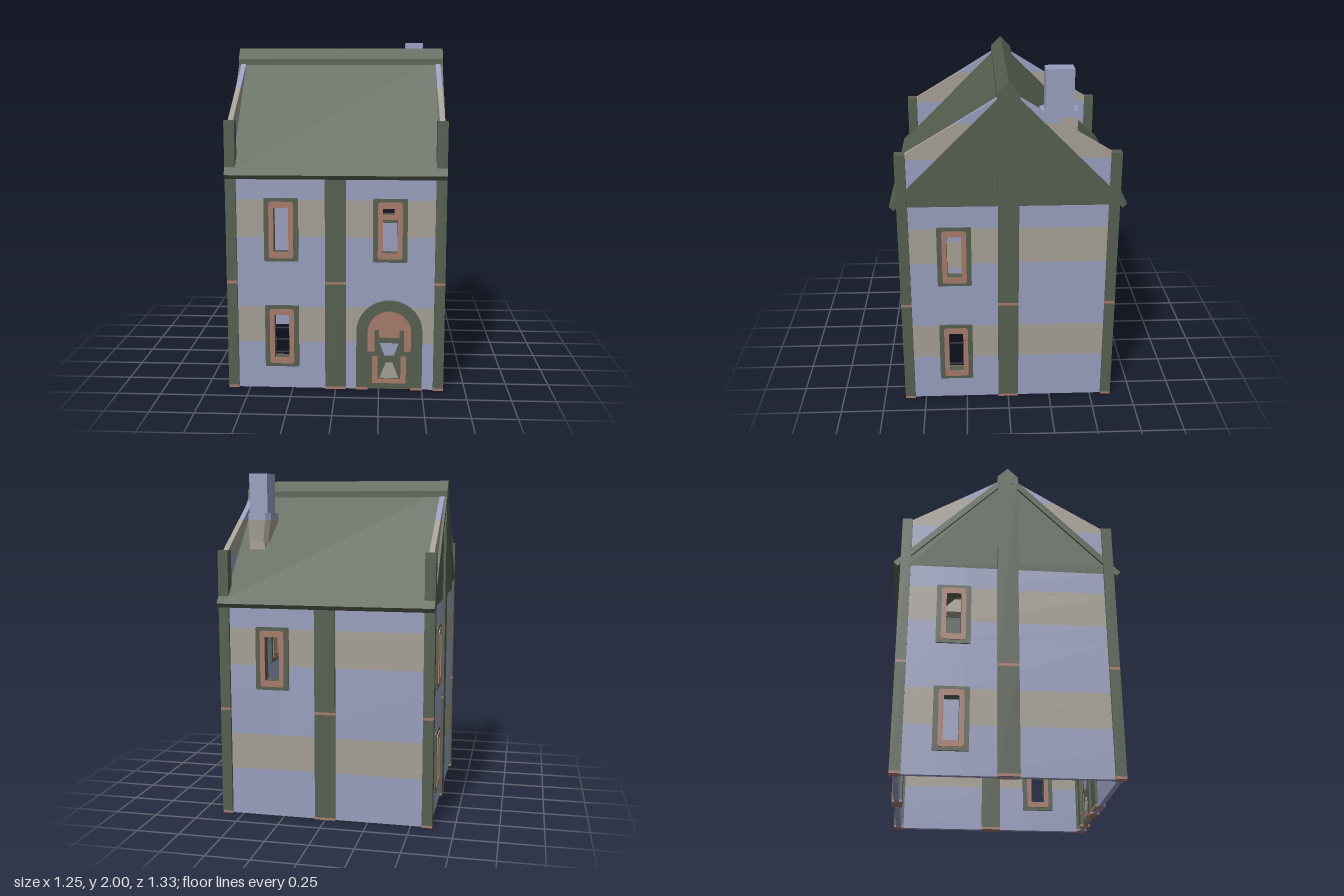
import * as THREE from 'three';
import { mergeGeometries } from 'three/addons/utils/BufferGeometryUtils.js';

const paint = (name, color) => Object.assign(new THREE.MeshStandardMaterial({ color }), { name });
const blue = paint('blue brick', 0x989ebe);
const tan = paint('tan brick', 0xa49f94);
const green = paint('dark green', 0x555f4f);
const brown = paint('clay brown', 0xa67a6a);

function add(parent, name, geometry, material) {
  const m = new THREE.Mesh(geometry, material);
  m.name = name;
  parent.add(m);
  return m;
}

// Box given by its two corners
function slab(x0, x1, y0, y1, z0, z1) {
  return new THREE.BoxGeometry(x1 - x0, y1 - y0, z1 - z0)
    .translate((x0 + x1) / 2, (y0 + y1) / 2, (z0 + z1) / 2);
}

const poly = pts => new THREE.Shape(pts.map(p => new THREE.Vector2(p[0], p[1])));

// Shape in x/y pushed out from z0 to z1
function plate(shape, z0, z1) {
  return new THREE.ExtrudeGeometry(shape, { depth: z1 - z0, bevelEnabled: false, curveSegments: 12 })
    .translate(0, 0, z0);
}

function roundRect(w, h, r, target = new THREE.Shape()) {
  target.moveTo(-w + r, -h);
  target.lineTo(w - r, -h); target.quadraticCurveTo(w, -h, w, -h + r);
  target.lineTo(w, h - r); target.quadraticCurveTo(w, h, w - r, h);
  target.lineTo(-w + r, h); target.quadraticCurveTo(-w, h, -w, h - r);
  target.lineTo(-w, -h + r); target.quadraticCurveTo(-w, -h, -w + r, -h);
  return target;
}

function ring(w, h, r) {
  const s = roundRect(w, h, r);
  s.holes.push(roundRect(0.042, 0.128, 0.004, new THREE.Path()));
  return s;
}

// Window frame with a raised clay rim on both sides
function addWindow(parent, x, y) {
  const g = new THREE.Group();
  g.name = 'window';
  g.position.set(x, y, 0);
  add(g, 'windowFrame', plate(ring(0.098, 0.183, 0.01), 0.568, 0.62), green);
  add(g, 'windowRimOuter', plate(ring(0.07, 0.163, 0.018), 0.62, 0.626), brown);
  add(g, 'windowRimInner', plate(ring(0.07, 0.163, 0.018), 0.562, 0.568), brown);
  parent.add(g);
}

function arch(r, y0, spring, target = new THREE.Shape()) {
  target.moveTo(-r, y0);
  target.lineTo(r, y0);
  target.lineTo(r, spring);
  target.absarc(0, spring, r, 0, Math.PI, false);
  target.lineTo(-r, y0);
  return target;
}

// Arched door with a raised surround and inlaid panels
function addDoor(parent, x) {
  const g = new THREE.Group();
  g.name = 'door';
  g.position.x = x;
  const s = new THREE.Shape();
  s.moveTo(0.19, 0.015);
  s.lineTo(0.19, 0.345);
  s.absarc(0, 0.345, 0.19, 0, Math.PI, false);
  s.lineTo(-0.19, 0.015);
  s.lineTo(-0.125, 0.015);
  s.lineTo(-0.125, 0.348);
  s.absarc(0, 0.348, 0.125, Math.PI, 0, true);
  s.lineTo(0.125, 0.015);
  add(g, 'doorSurround', plate(s, 0.565, 0.625), green);
  for (const k of [-1, 1])
    add(g, 'doorSurroundFoot', slab(k * 0.1575 - 0.0325, k * 0.1575 + 0.0325, 0, 0.015, 0.565, 0.625), brown);
  add(g, 'doorLeaf', plate(arch(0.127, 0, 0.348), 0.585, 0.605), brown);
  for (const face of [-1, 1]) {
    // Layered thin inlays, repeated on the inner side
    const inlay = (name, pts, layer, mat) => {
      const d = 0.01 + layer * 0.002;
      const z = [0.595 + face * d, 0.595 + face * (d + 0.002)].sort();
      add(g, name, plate(poly(pts), z[0], z[1]), mat);
    };
    const rect = (x0, x1, y0, y1) => [[x0, y0], [x1, y0], [x1, y1], [x0, y1]];
    inlay('doorLowerPanel', rect(-0.125, 0.125, 0, 0.225), 0, green);
    inlay('doorMiddlePanel', rect(-0.085, 0.085, 0.225, 0.31), 0, green);
    for (const k of [-1, 1]) {
      inlay('doorStile', rect(k * 0.072 - 0.013, k * 0.072 + 0.013, 0.31, 0.355), 0, green);
      inlay('doorPanelLine', rect(k * 0.082 - 0.016, k * 0.082 + 0.016, 0.035, 0.2), 1, brown);
    }
    inlay('doorPanelBase', rect(-0.066, 0.066, 0.035, 0.062), 1, brown);
    inlay('doorUpperPane', [[-0.028, 0.205], [0.028, 0.205], [0.055, 0.278], [-0.055, 0.278]], 1, blue);
    inlay('doorLowerPane', [[-0.055, 0.068], [0.055, 0.068], [0.02, 0.16], [-0.02, 0.16]], 1, tan);
  }
  parent.add(g);
}

// Striped wall cut into cells around its openings [x0, x1, y0, y1]
const stripes = [0, 0.28, 0.49, 0.9, 1.115];
function addWall(parent, top, openings) {
  const edges = list => [...new Set(list)].sort((a, b) => a - b);
  const xs = edges([-0.57, 0.57, ...openings.flatMap(o => [o[0], o[1]])]);
  const ys = edges([...stripes, top, ...openings.flatMap(o => [o[2], o[3]])]);
  const cells = [[], []];
  for (let j = 0; j < ys.length - 1; j++) {
    const cy = (ys[j] + ys[j + 1]) / 2;
    const isTan = (cy > 0.28 && cy < 0.49) || (cy > 0.9 && cy < 1.115);
    for (let i = 0; i < xs.length - 1; i++) {
      const cx = (xs[i] + xs[i + 1]) / 2;
      if (openings.some(o => cx > o[0] && cx < o[1] && cy > o[2] && cy < o[3])) continue;
      cells[isTan ? 1 : 0].push(slab(xs[i], xs[i + 1], ys[j], ys[j + 1], 0.58, 0.61));
    }
  }
  add(parent, 'wallBlue', mergeGeometries(cells[0]), blue);
  add(parent, 'wallTanStripes', mergeGeometries(cells[1]), tan);
}

// Timber post with a clay foot and a clay band at mid height
function addPost(parent, name, x0, x1, z0, z1, top) {
  const g = new THREE.Group();
  g.name = name;
  [[0, 0.015, brown, 'postFoot'], [0.015, 0.628, green, 'postLower'],
    [0.628, 0.644, brown, 'postBand'], [0.644, top, green, 'postUpper']]
    .forEach(([a, b, mat, n]) => add(g, n, slab(x0, x1, a, b, z0, z1), mat));
  parent.add(g);
}

// Gable infill and the sloping parapets that rise above the roof
function addGable(parent) {
  add(parent, 'gable', plate(poly([[-0.58, 1.25], [0.58, 1.25], [0.58, 1.31], [0, 1.89], [-0.58, 1.31]]), 0.58, 0.61), green);
  for (const k of [-1, 1]) {
    const part = (name, pts, mat) => add(parent, name, plate(poly(pts.map(p => [p[0] * k, p[1]])), 0.58, 0.61), mat);
    part('parapetLower', [[0.57, 1.33], [0.57, 1.53], [0.375, 1.53]], blue);
    part('parapetMiddle', [[0.375, 1.53], [0.57, 1.53], [0.57, 1.56], [0.288, 1.73], [0.175, 1.73]], tan);
    part('parapetUpper', [[0.175, 1.73], [0.288, 1.73], [0.05, 1.876], [0.05, 1.855]], blue);
  }
}

function addChimney(parent) {
  const g = new THREE.Group();
  g.name = 'chimney';
  const outline = [[0.515, 0.18], [0.515, 0.39], [0.412, 0.39], [0.385, 0.363], [0.385, 0.207], [0.412, 0.18]];
  const tier = (y0, y1) => plate(poly(outline), y0, y1).rotateX(-Math.PI / 2);
  const corbel = tier(1.6, 1.73), p = corbel.attributes.position;
  // Narrow the corbel toward its foot
  for (let i = 0; i < p.count; i++) if (p.getY(i) < 1.65)
    p.setXYZ(i, 0.515 + (p.getX(i) - 0.515) * 0.85, p.getY(i), -0.285 + (p.getZ(i) + 0.285) * 0.9);
  corbel.computeVertexNormals();
  add(g, 'chimneyNeck', slab(0.42, 0.515, 1.5, 1.6, -0.37, -0.2), tan);
  add(g, 'chimneyCorbel', corbel, tan);
  add(g, 'chimneyShoulder', tier(1.73, 1.77), blue);
  add(g, 'chimneyStack', slab(0.405, 0.515, 1.77, 2, -0.363, -0.205), blue);
  parent.add(g);
}

export function createModel() {
  const house = new THREE.Group();
  house.name = 'house';

  // Four sides: rotation, wall top, window positions, gable flag
  const low = 0.315, high = 0.942;
  const sides = [
    ['frontSide', 0, 1.28, [[-0.31, low], [-0.31, high], [0.31, high]], false],
    ['leftSide', Math.PI / 2, 1.25, [[-0.31, low], [-0.31, high]], true],
    ['backSide', Math.PI, 1.28, [[-0.31, high]], false],
    ['rightSide', -Math.PI / 2, 1.25, [[-0.31, low], [-0.31, high]], true],
  ];
  for (const [name, turn, top, windows, gable] of sides) {
    const g = new THREE.Group();
    g.name = name;
    g.rotation.y = turn;
    const openings = windows.map(([x, y]) => [x - 0.06, x + 0.06, y - 0.15, y + 0.15]);
    if (name === 'frontSide') {
      openings.push([0.18, 0.44, 0, 0.47]);
      addDoor(g, 0.31);
    }
    addWall(g, top, openings);
    windows.forEach(([x, y]) => addWindow(g, x, y));
    addPost(g, 'middlePost', -0.06, 0.06, 0.565, 0.625, gable ? 1.88 : 1.28);
    if (gable) addGable(g);
    house.add(g);
  }

  for (const x of [-1, 1]) for (const z of [-1, 1])
    addPost(house, 'cornerPost', x * 0.595 - 0.03, x * 0.595 + 0.03, z * 0.595 - 0.03, z * 0.595 + 0.03, 1.56);

  // Roof slopes and ridge cap run along x
  const roofProfile = poly([[0, 1.925], [-0.665, 1.26], [-0.64, 1.235], [0, 1.875], [0.64, 1.235], [0.665, 1.26]]);
  add(house, 'roof', plate(roofProfile, -0.624, 0.624).rotateY(Math.PI / 2), green);
  const ridge = poly([[-0.062, 1.855], [0.062, 1.855], [0.062, 1.9], [0, 1.962], [-0.062, 1.9]]);
  add(house, 'ridgeCap', plate(ridge, -0.626, 0.626).rotateY(Math.PI / 2), green);

  addChimney(house);
  return house;
}
